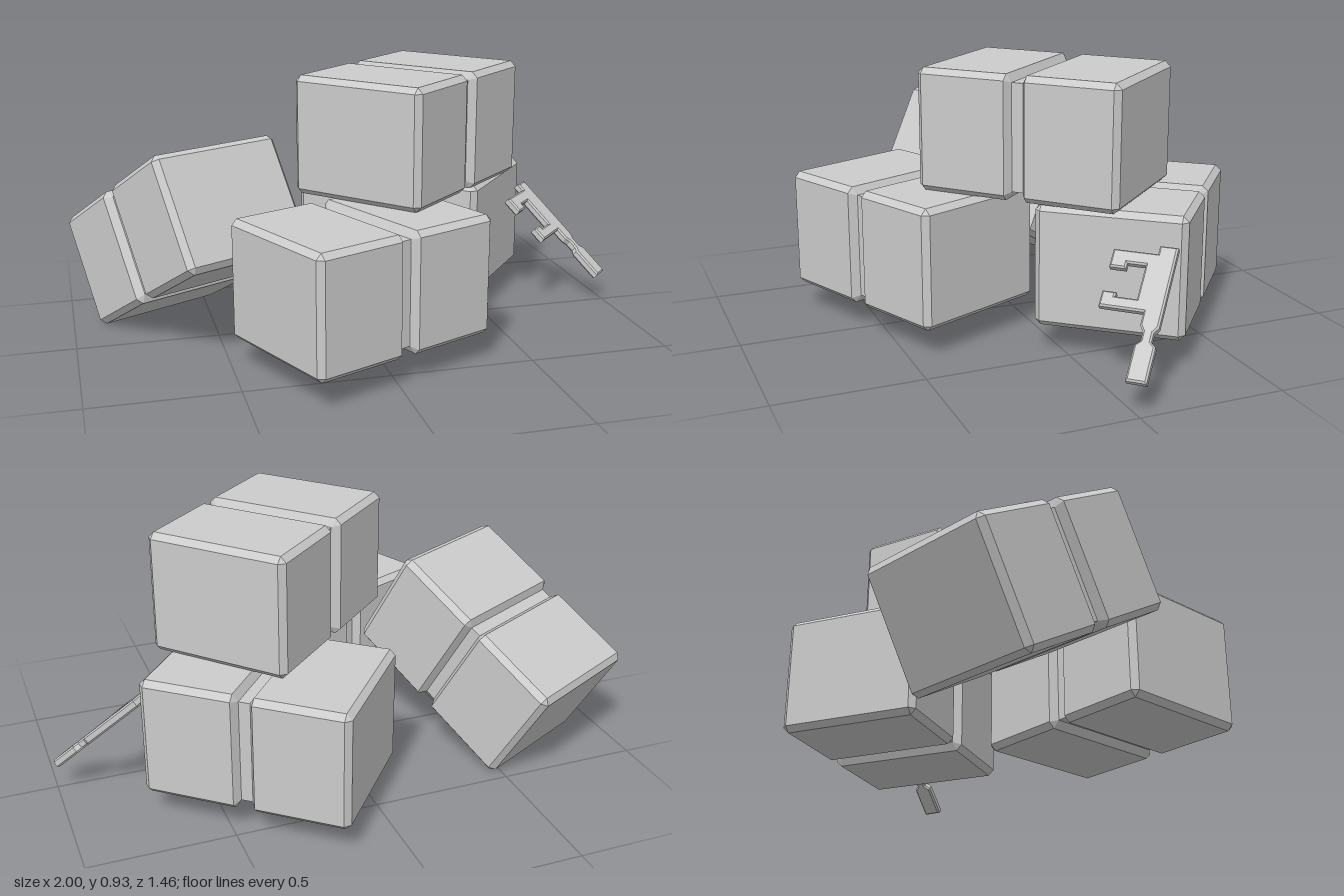
import * as THREE from 'three';

const material = new THREE.MeshStandardMaterial({ color: 0xcccccc, flatShading: true });

// Chamfered rectangle (8 corners) in the YZ plane at station x
function section(x, hh, hw, c) {
  const pts = [];
  for (const [sy, sz] of [[1, 1], [-1, 1], [-1, -1], [1, -1]]) {
    const a = new THREE.Vector3(x, sy * hh, sz * (hw - c));
    const b = new THREE.Vector3(x, sy * (hh - c), sz * hw);
    pts.push(...(sy * sz > 0 ? [a, b] : [b, a]));
  }
  return pts;
}

// Chamfered block with a groove all the way round its middle
function blockGeometry() {
  const L = 0.36, H = 0.21, W = 0.253, c = 0.02, g = 0.028;
  const half = [[L, H - c, W - c, 0], [L - c, H, W, c], [0.037, H, W, c], [0.02, H - g, W - g, 0]];
  const stations = [
    ...half.map(([x, h, w, k]) => section(-x, h, w, k)),
    ...half.reverse().map(([x, h, w, k]) => section(x, h, w, k)),
  ];
  const verts = [];
  const tri = (...ps) => {
    const [p, q, r] = ps;
    const area = q.clone().sub(p).cross(r.clone().sub(p)).length();
    if (area > 1e-9) ps.forEach((v) => verts.push(v.x, v.y, v.z));
  };
  for (let i = 0; i < stations.length - 1; i++) {
    const A = stations[i], B = stations[i + 1];
    for (let j = 0; j < 8; j++) {
      const k = (j + 1) % 8;
      tri(A[j], B[k], B[j]);
      tri(A[j], A[k], B[k]);
    }
  }
  // End caps
  const first = stations[0], last = stations[stations.length - 1];
  for (let j = 1; j < 7; j++) {
    tri(first[0], first[j + 1], first[j]);
    tri(last[0], last[j], last[j + 1]);
  }
  const geo = new THREE.BufferGeometry();
  geo.setAttribute('position', new THREE.Float32BufferAttribute(verts, 3));
  geo.computeVertexNormals();
  return geo;
}

// Flat key: u runs from the toothed end to the grip, v points along the teeth
function makeKey() {
  const outline = [
    [0, -0.03], [0.28, -0.03], [0.3, -0.017], [0.33, -0.017], [0.345, -0.033], [0.465, -0.033],
    [0.465, 0.033], [0.345, 0.033], [0.33, 0.017], [0.3, 0.017], [0.28, 0.03],
    [0.235, 0.03], [0.235, 0.175], [0.18, 0.175], [0.18, 0.13], [0.195, 0.13], [0.195, 0.06],
    [0.075, 0.06], [0.075, 0.12], [0.095, 0.12], [0.095, 0.175], [0.03, 0.175], [0.03, 0.03], [0, 0.03],
  ];
  const shape = new THREE.Shape(outline.map(([u, v]) => new THREE.Vector2(u, v)));
  const geo = new THREE.ExtrudeGeometry(shape, {
    depth: 0.018, bevelEnabled: true, bevelSize: 0.006, bevelOffset: -0.006, bevelThickness: 0.006, bevelSegments: 1,
  });
  geo.translate(0, 0, -0.009);
  const s = new THREE.Vector3(0.525, -0.675, 0.515).normalize();
  const t = new THREE.Vector3(-0.66, -0.05, 0.74);
  t.addScaledVector(s, -t.dot(s)).normalize();
  const n = s.clone().cross(t);
  const key = new THREE.Mesh(geo, material);
  key.name = 'key';
  key.quaternion.setFromRotationMatrix(new THREE.Matrix4().makeBasis(s, t, n));
  key.position.set(0.735, 0.42, -0.235);
  return key;
}

export function createModel() {
  const group = new THREE.Group();
  group.name = 'blockPile';

  // name, centre, turn about y, tilt of the long axis
  const blocks = [
    ['frontBlock', [-0.065, 0.308, 0.36], 0.407, 0],
    ['backBlock', [0.315, 0.308, -0.325], -0.697, 0],
    ['topBlock', [0.215, 0.728, -0.035], 0.736, 0],
    ['leaningBlock', [-0.59, 0.355, -0.155], -1.099, Math.PI / 6],
  ];
  const geo = blockGeometry();
  for (const [name, centre, turn, tilt] of blocks) {
    const block = new THREE.Mesh(geo, material);
    block.name = name;
    block.position.set(...centre);
    block.rotation.set(0, turn, tilt, 'YXZ');
    group.add(block);
  }

  group.add(makeKey());
  return group;
}
